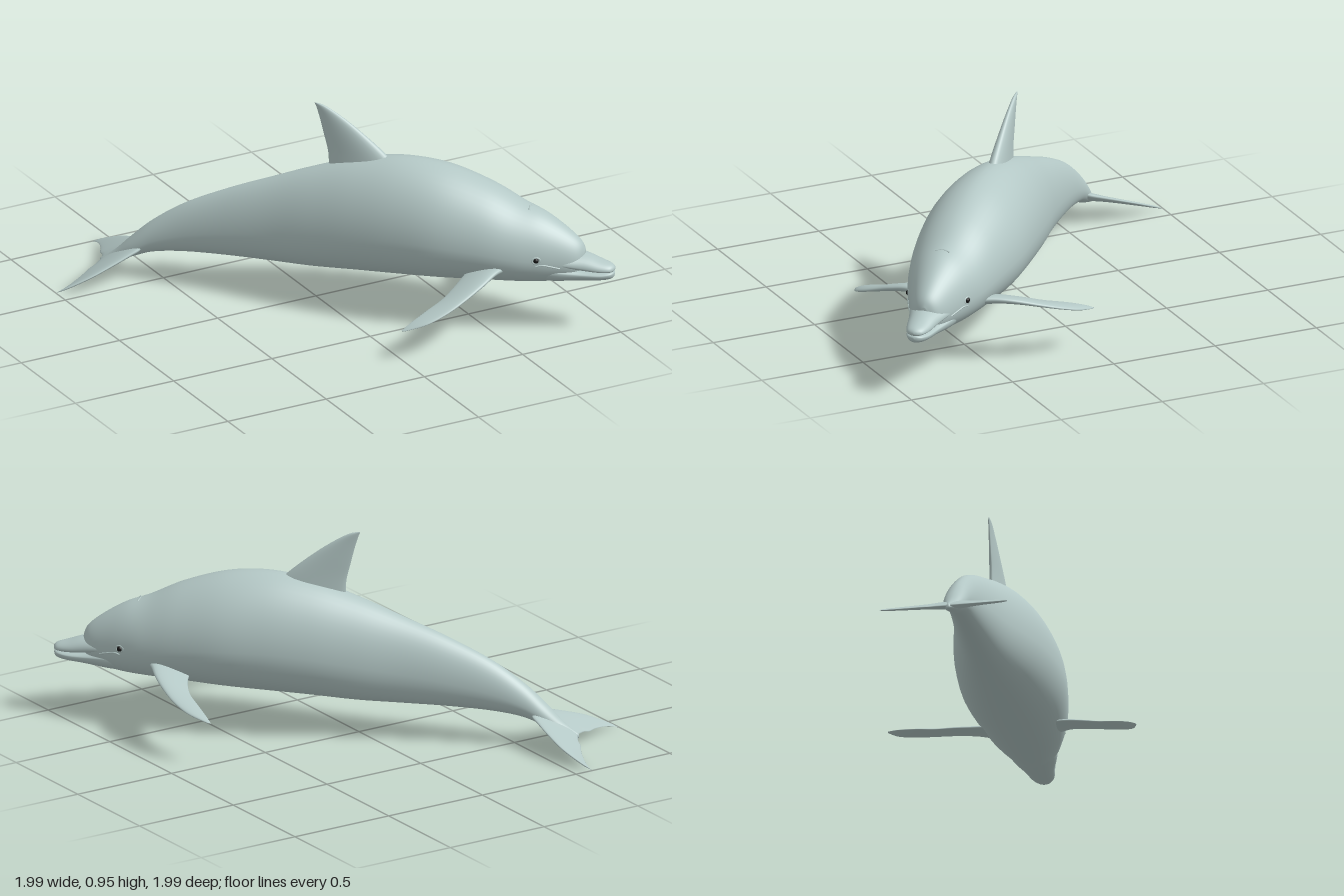
import * as THREE from 'three';

const skinMat = new THREE.MeshStandardMaterial({ color: 0xb4c8c6 });
const eyeMat = new THREE.MeshStandardMaterial({ color: 0x151515 });

// Catmull-Rom smoothing of a table of rows, n samples per interval
function smooth(rows, n) {
  const out = [];
  const at = i => rows[Math.max(0, Math.min(rows.length - 1, i))];
  for (let i = 0; i < rows.length - 1; i++) {
    for (let j = 0; j < n; j++) {
      const t = j / n;
      out.push(rows[i].map((_, c) => {
        const a = at(i - 1)[c], b = at(i)[c], d = at(i + 1)[c], e = at(i + 2)[c];
        return b + 0.5 * t * (d - a + t * (2 * a - 5 * b + 4 * d - e + t * (3 * (b - d) + e - a)));
      }));
    }
  }
  out.push(rows[rows.length - 1]);
  return out;
}

// Closed skin over rings of points, ends capped, faces turned outward
function skin(rings, name) {
  const m = rings[0].length, pos = [], idx = [];
  rings.forEach(r => r.forEach(p => pos.push(p.x, p.y, p.z)));
  for (let i = 0; i < rings.length - 1; i++) {
    for (let j = 0; j < m; j++) {
      const a = i * m + j, b = i * m + (j + 1) % m;
      idx.push(a, b, a + m, b, b + m, a + m);
    }
  }
  [0, rings.length - 1].forEach((r, end) => {
    const c = rings[r].reduce((s, p) => s.add(p), new THREE.Vector3()).divideScalar(m);
    const k = pos.length / 3;
    pos.push(c.x, c.y, c.z);
    for (let j = 0; j < m; j++) {
      const a = r * m + j, b = r * m + (j + 1) % m;
      if (end) idx.push(a, b, k); else idx.push(b, a, k);
    }
  });
  // signed volume decides the winding
  const v = i => new THREE.Vector3().fromArray(pos, 3 * i);
  let vol = 0;
  for (let i = 0; i < idx.length; i += 3) vol += v(idx[i]).dot(v(idx[i + 1]).cross(v(idx[i + 2])));
  if (vol < 0) idx.reverse();
  const g = new THREE.BufferGeometry();
  g.setAttribute('position', new THREE.Float32BufferAttribute(pos, 3));
  g.setIndex(idx);
  g.computeVertexNormals();
  const mesh = new THREE.Mesh(g, skinMat);
  mesh.name = name;
  return mesh;
}

// Body loft: rows are [z, bottom, top, half width], k is the height of the widest point
function loft(rows, k, name, segs = 48) {
  return skin(rows.map(([z, bot, top, hw]) => {
    const yc = bot + k * (top - bot);
    return Array.from({ length: segs }, (_, j) => {
      const a = j / segs * Math.PI * 2, c = Math.cos(a), s = Math.sin(a);
      const x = hw * Math.sign(c) * Math.pow(Math.abs(c), s > 0 ? 1.1 : 0.9);
      return new THREE.Vector3(x, yc + s * (s > 0 ? top - yc : yc - bot), z);
    });
  }), name);
}

// Thin fin: rows are [lead xyz, trail xyz, half thickness], n is the thickness direction
function blade(rows, n, name) {
  return skin(smooth(rows, 6).map(r => {
    const lead = new THREE.Vector3(r[0], r[1], r[2]), trail = new THREE.Vector3(r[3], r[4], r[5]);
    return Array.from({ length: 24 }, (_, j) => {
      const a = j / 24 * Math.PI * 2, u = (1 - Math.cos(a)) / 2;
      // blunt leading edge, sharp trailing edge
      return lead.clone().lerp(trail, u).addScaledVector(n, r[6] * Math.sin(a) * (1.25 - 0.7 * u));
    });
  }), name);
}

const BODY = smooth([
  [-1.0, 0.048, 0.068, 0.008], [-0.93, 0.07, 0.12, 0.03], [-0.85, 0.098, 0.2, 0.05],
  [-0.75, 0.135, 0.29, 0.058], [-0.6, 0.155, 0.39, 0.07], [-0.4, 0.163, 0.485, 0.092],
  [-0.2, 0.165, 0.565, 0.12], [0, 0.168, 0.642, 0.16], [0.2, 0.18, 0.705, 0.197],
  [0.4, 0.19, 0.737, 0.224], [0.6, 0.2, 0.722, 0.235], [0.8, 0.213, 0.66, 0.213],
  [0.95, 0.22, 0.588, 0.18], [1.05, 0.226, 0.55, 0.146], [1.13, 0.238, 0.505, 0.113],
  [1.2, 0.255, 0.455, 0.08], [1.235, 0.28, 0.42, 0.052], [1.25, 0.34, 0.385, 0.015],
], 6);
const K = 0.42;

// Half width of the body at a given z and height
function bodySide(z, y) {
  const i = Math.max(1, BODY.findIndex(r => r[0] >= z)), p = BODY[i - 1], q = BODY[i];
  const t = (z - p[0]) / (q[0] - p[0]);
  const [, bot, top, hw] = p.map((v, c) => v + (q[c] - v) * t);
  const yc = bot + K * (top - bot), s = y > yc ? (y - yc) / (top - yc) : (yc - y) / (yc - bot);
  return hw * Math.pow(Math.max(0, 1 - s * s), y > yc ? 0.55 : 0.45);
}

function tube(points, radius, name) {
  const curve = new THREE.CatmullRomCurve3(points.map(p => new THREE.Vector3(...p)));
  const mesh = new THREE.Mesh(new THREE.TubeGeometry(curve, 24, radius, 8), skinMat);
  mesh.name = name;
  return mesh;
}

export function createModel() {
  const model = new THREE.Group();
  model.name = 'dolphin';
  const swimmer = new THREE.Group();
  swimmer.name = 'dolphinBody';
  swimmer.rotation.y = Math.PI / 4; // the animal swims along the diagonal
  model.add(swimmer);

  swimmer.add(loft(BODY, K, 'torso'));

  // Beak in two jaws that meet at the mouth line
  swimmer.add(loft(smooth([
    [1.0, 0.335, 0.38, 0.11], [1.12, 0.322, 0.388, 0.108], [1.24, 0.301, 0.375, 0.073],
    [1.32, 0.296, 0.35, 0.056], [1.365, 0.298, 0.336, 0.04], [1.382, 0.302, 0.326, 0.022],
    [1.388, 0.31, 0.316, 0.003],
  ], 5), 0.35, 'upperJaw', 32));
  swimmer.add(loft(smooth([
    [1.0, 0.23, 0.345, 0.11], [1.12, 0.236, 0.332, 0.104], [1.24, 0.249, 0.309, 0.07],
    [1.32, 0.256, 0.303, 0.055], [1.362, 0.263, 0.303, 0.039], [1.38, 0.272, 0.3, 0.022],
    [1.386, 0.285, 0.292, 0.003],
  ], 5), 0.65, 'lowerJaw', 32));

  // Dorsal fin
  swimmer.add(blade([
    [0, 0.66, 0.4, 0, 0.58, 0.06, 0.042],
    [0, 0.75, 0.31, 0, 0.71, 0.058, 0.032],
    [0, 0.84, 0.2, 0, 0.8, 0.038, 0.022],
    [0, 0.9, 0.115, 0, 0.88, 0.018, 0.014],
    [0, 0.94, 0.045, 0, 0.932, 0.002, 0.008],
    [0, 0.952, 0.0, 0, 0.95, -0.006, 0.002],
  ], new THREE.Vector3(1, 0, 0), 'dorsalFin'));

  const up = new THREE.Vector3(0, 1, 0);
  const flukeY = z => 0.155 + (z + 0.8) * 0.465;

  for (const side of [1, -1]) {
    const label = side > 0 ? 'left' : 'right';

    // Pectoral fin, the right one hanging a little lower
    const droop = w => -0.027 * Math.max(0, w - 0.2) / 0.36 * -side;
    const pectoral = [
      [0.1, 0.31, 0.95, 0.1, 0.275, 0.74, 0.026],
      [0.2, 0.318, 0.905, 0.2, 0.275, 0.735, 0.022],
      [0.3, 0.3, 0.865, 0.29, 0.265, 0.718, 0.017],
      [0.39, 0.268, 0.81, 0.37, 0.247, 0.69, 0.013],
      [0.467, 0.235, 0.748, 0.45, 0.225, 0.64, 0.01],
      [0.53, 0.202, 0.668, 0.52, 0.198, 0.59, 0.007],
      [0.563, 0.175, 0.572, 0.56, 0.175, 0.558, 0.002],
    ].map(([a, b, c, d, e, f, t]) =>
      [side * a, b + droop(a), c, side * d, e + droop(d), f, t]);
    swimmer.add(blade(pectoral, up, label + 'PectoralFin'));

    // Tail fluke: [span, lead z, trail z, half thickness]
    const fluke = [
      [0, -0.8, -0.995, 0.024], [0.06, -0.8, -1.01, 0.018], [0.1, -0.835, -1.03, 0.014],
      [0.16, -0.89, -1.045, 0.011], [0.233, -0.97, -1.075, 0.008],
      [0.277, -1.06, -1.105, 0.005], [0.288, -1.112, -1.12, 0.001],
    ].map(([w, l, t, h]) => [side * w, flukeY(l), l, side * w, flukeY(t), t, h]);
    swimmer.add(blade(fluke, up, label + 'TailFluke'));

    // Eye with a soft lid
    const eye = new THREE.Group();
    eye.name = label + 'Eye';
    eye.position.set(side * (bodySide(1.06, 0.37) - 0.004), 0.37, 1.06);
    const ball = new THREE.Mesh(new THREE.SphereGeometry(0.013, 16, 12), eyeMat);
    ball.name = 'eyeball';
    const lid = new THREE.Mesh(new THREE.TorusGeometry(0.014, 0.005, 8, 20), skinMat);
    lid.name = 'eyelid';
    lid.rotation.y = side * 1.2;
    lid.scale.x = 1.3;
    eye.add(ball, lid);
    swimmer.add(eye);

    // Lip fold running from the mouth corner to the beak
    const lip = [[1.06, 0.342], [1.085, 0.347], [1.12, 0.338], [1.16, 0.325]];
    swimmer.add(tube(lip.map(([z, y]) => [side * bodySide(z, y), y, z]), 0.004, label + 'LipFold'));
  }

  // Blowhole crease
  swimmer.add(tube([[-0.035, 0.562, 1.0], [0, 0.568, 0.993], [0.035, 0.562, 1.0]], 0.005, 'blowhole'));

  return model;
}
